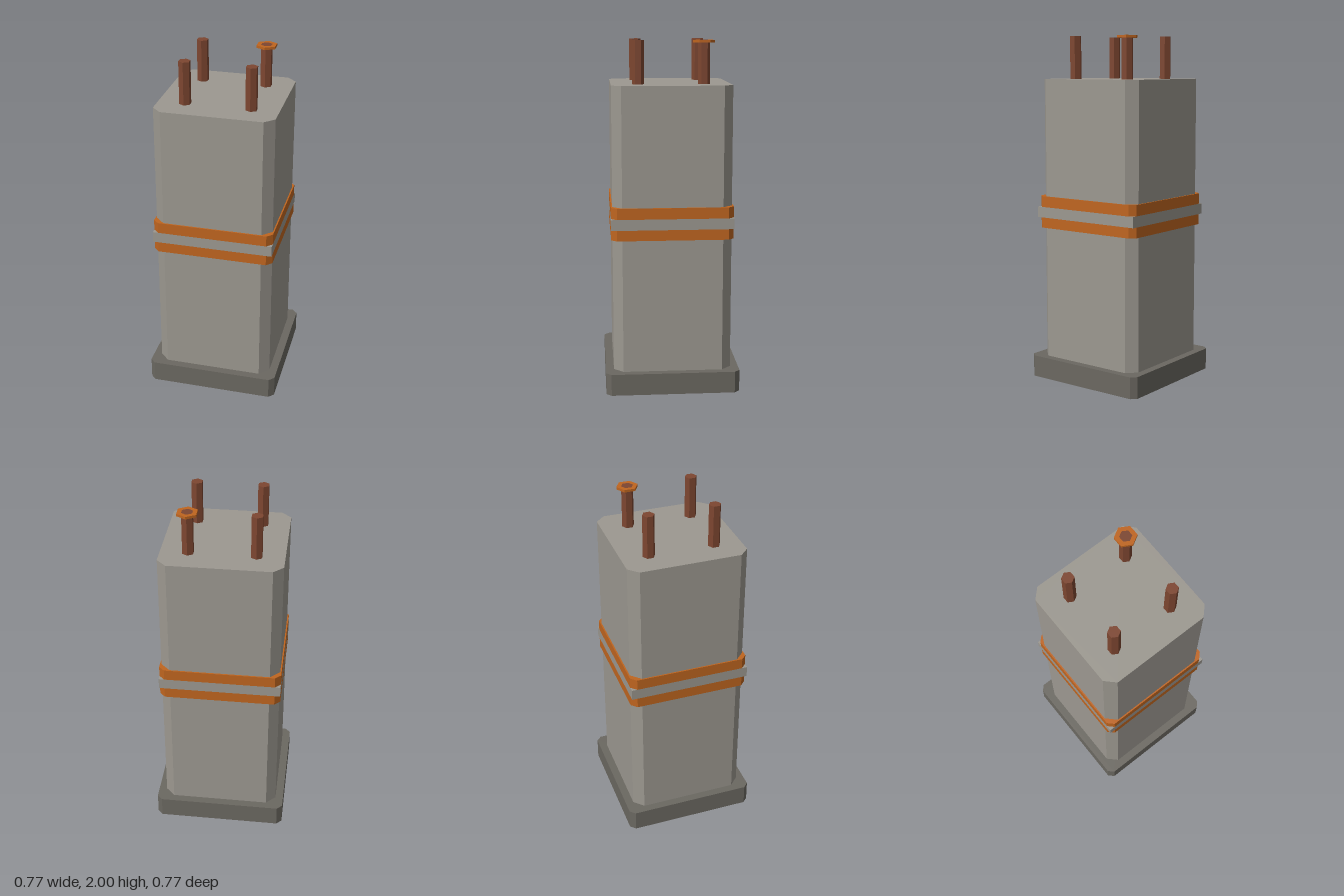
import * as THREE from 'three';

const material = (name, color) => {
  const m = new THREE.MeshStandardMaterial({ color, flatShading: true });
  m.name = name;
  return m;
};

// Square block with cut corners, standing from y0 to y1
function chamferedBlock(half, cut, y0, y1) {
  const a = half, b = half - cut;
  const outline = [[a, -b], [a, b], [b, a], [-b, a], [-a, b], [-a, -b], [-b, -a], [b, -a]];
  const shape = new THREE.Shape(outline.map(([x, y]) => new THREE.Vector2(x, y)));
  return new THREE.ExtrudeGeometry(shape, { depth: y1 - y0, bevelEnabled: false })
    .rotateX(-Math.PI / 2)
    .translate(0, y0, 0);
}

export function createModel() {
  const stone = material('light stone', 0x9c9890);
  const darkStone = material('dark stone', 0x6b6861);
  const copper = material('copper', 0xbf651f);
  const rust = material('rusty iron', 0x7d4630);

  const group = new THREE.Group();
  group.name = 'pillar';
  const add = (name, geometry, mat) => {
    const mesh = new THREE.Mesh(geometry, mat);
    mesh.name = name;
    group.add(mesh);
    return mesh;
  };

  // Plinth and shaft
  add('base', chamferedBlock(0.384, 0.03, 0, 0.125), darkStone);
  add('shaft', chamferedBlock(0.338, 0.054, 0.125, 1.757), stone);

  // Square collar between two copper bands
  add('lowerBand', chamferedBlock(0.346, 0.032, 0.895, 0.955), copper);
  add('collar', new THREE.BoxGeometry(0.692, 0.062, 0.692).translate(0, 0.986, 0), stone);
  add('upperBand', chamferedBlock(0.346, 0.032, 1.017, 1.08), copper);

  // Four hexagonal rods on the top
  const rodAt = 0.185, rodRadius = 0.034;
  for (const x of [-rodAt, rodAt]) {
    for (const z of [-rodAt, rodAt]) {
      const rod = new THREE.CylinderGeometry(rodRadius, rodRadius, 0.25, 6);
      add('rod', rod, rust).position.set(x, 1.875, z);
    }
  }

  // Hexagonal ring around the tip of the back left rod
  const ringProfile = [[rodRadius, 1.986], [0.061, 1.986], [0.061, 2], [rodRadius, 2]]
    .map(([r, y]) => new THREE.Vector2(r, y));
  add('rodRing', new THREE.LatheGeometry(ringProfile, 6), copper).position.set(rodAt, 0, -rodAt);

  return group;
}
